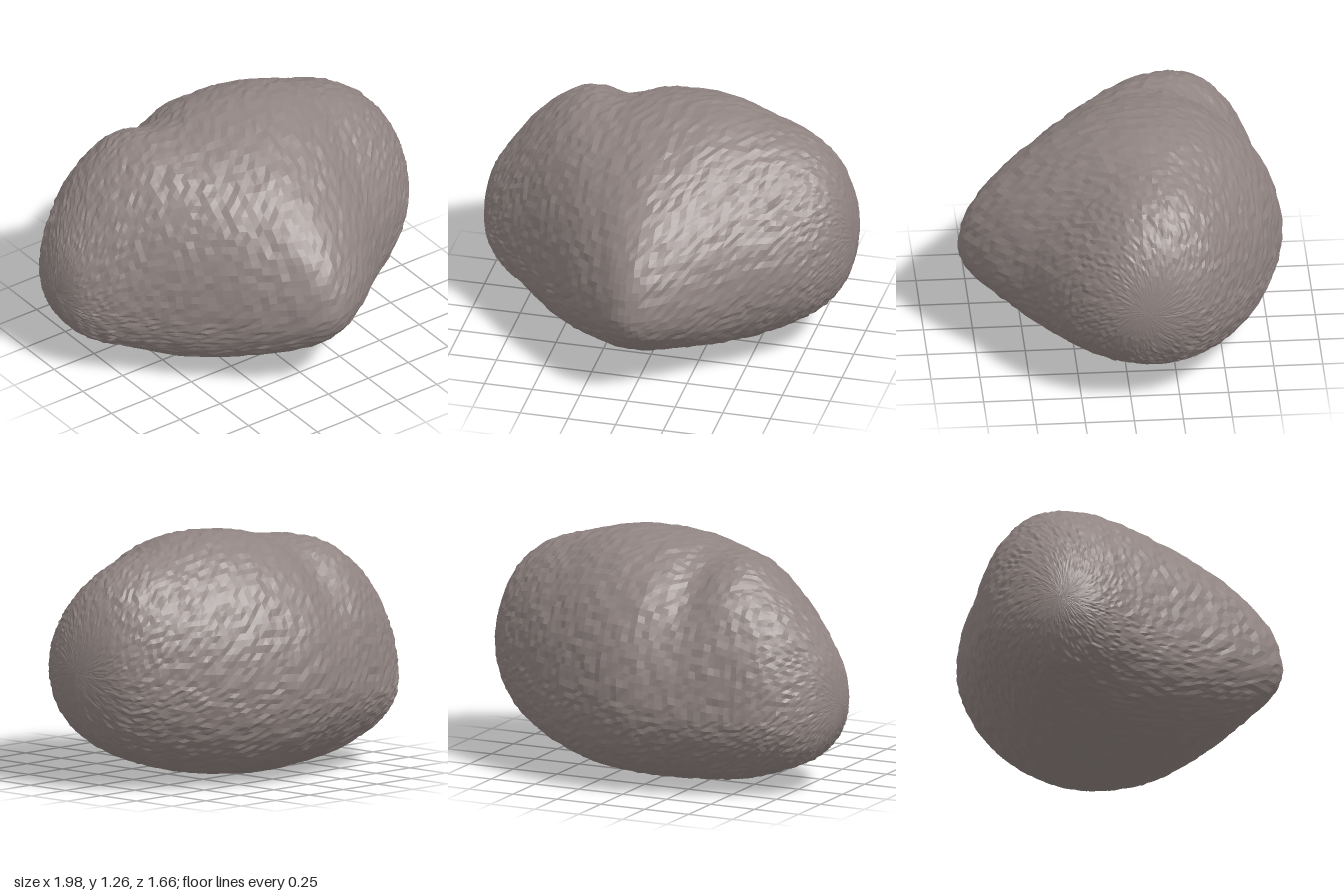
import * as THREE from 'three';

// Cross-sections from right end to left end, at x = -cos(15 degrees * row):
// [top y, bottom y, front z, back z, widest y, crown z,
//  then fullness of the quarters: upper front, lower front, upper back, lower back]
const SECTIONS = [
  [0.47, 0.47, -0.25, -0.25, 0.47, -0.25, 0, 0.05, 0, 0.03],
  [0.68, 0.31, -0.09, -0.42, 0.46, -0.26, 0, 0.06, 0, 0.03],
  [0.85, 0.18, 0.03, -0.565, 0.44, -0.28, 0, 0.06, 0.01, 0],
  [1.04, 0.11, 0.18, -0.67, 0.43, -0.30, -0.01, 0.06, 0.02, -0.04],
  [1.175, 0.045, 0.40, -0.73, 0.43, -0.28, -0.02, 0.05, 0.02, -0.05],
  [1.21, 0.01, 0.645, -0.79, 0.47, -0.21, -0.03, 0, 0.01, -0.02],
  [1.25, 0.005, 0.825, -0.83, 0.50, -0.18, -0.055, -0.045, -0.005, 0.02],
  [1.255, 0.03, 0.71, -0.77, 0.52, -0.17, -0.06, -0.03, -0.01, 0.05],
  [1.20, 0.08, 0.51, -0.665, 0.54, -0.16, -0.06, 0.02, -0.02, 0.05],
  [1.135, 0.16, 0.38, -0.54, 0.56, -0.14, -0.05, 0.02, 0.01, 0.04],
  [1.02, 0.265, 0.25, -0.425, 0.59, -0.11, -0.03, 0.01, 0.03, 0.03],
  [0.84, 0.42, 0.10, -0.29, 0.61, -0.08, 0, 0, 0.01, 0],
  [0.62, 0.62, -0.07, -0.07, 0.62, -0.07, 0, 0, 0, 0],
];

// Smooth cross-section at u in 0..1, extrapolated past both ends
function sectionAt(u) {
  const last = SECTIONS.length - 1;
  const i = Math.min(Math.floor(u * last), last - 1);
  const f = u * last - i;
  const row = (k, c) => {
    if (k < 0) return 2 * SECTIONS[0][c] - SECTIONS[1][c];
    if (k > last) return 2 * SECTIONS[last][c] - SECTIONS[last - 1][c];
    return SECTIONS[k][c];
  };
  return SECTIONS[0].map((_, c) => {
    const [a, b, d, e] = [row(i - 1, c), row(i, c), row(i + 1, c), row(i + 2, c)];
    return b + 0.5 * f * (d - a + f * (2 * a - 5 * b + 4 * d - e + f * (3 * (b - d) + e - a)));
  });
}

function seeded(seed) {
  return () => {
    seed = (seed * 1664525 + 1013904223) % 4294967296;
    return seed / 4294967296;
  };
}

function boulderGeometry(rings = 90, sides = 120) {
  const random = seeded(7);
  const positions = [], index = [];
  for (let i = 0; i <= rings; i++) {
    const u = i / rings;
    const x = -Math.cos(u * Math.PI) * 0.99;
    const [top, bottom, front, back, y0, z0, ...full] = sectionAt(u);
    const rough = 0.011 * Math.min(1, 2 * Math.sin(u * Math.PI));
    for (let j = 0; j < sides; j++) {
      const a = (j / sides) * Math.PI * 2;
      const c = Math.cos(a), s = Math.sin(a);
      const quarter = (c > 0 ? 0 : 2) + (s > 0 ? 0 : 1);
      const r = 1 + full[quarter] * Math.sin(2 * a) ** 2;
      let y = y0 + r * s * (s > 0 ? top - y0 : y0 - bottom);
      let z = z0 + r * c * (c > 0 ? front - z0 : z0 - back);
      // Shallow valley across the upper back
      const dent = 0.05 * Math.exp(-(((x + 0.27) / 0.12) ** 2) - ((y - 1.02) / 0.3) ** 2 - ((z + 0.5) / 0.3) ** 2);
      // Chipped surface
      const push = (random() - 0.5) * rough - dent;
      y += s * push;
      z += c * push;
      positions.push(x + (random() - 0.5) * rough * 0.8, Math.max(0, y), z);
      if (i < rings) {
        const k = (j + 1) % sides;
        const p = i * sides + j, q = i * sides + k;
        index.push(p, p + sides, q + sides, p, q + sides, q);
      }
    }
  }
  const geometry = new THREE.BufferGeometry();
  geometry.setAttribute('position', new THREE.Float32BufferAttribute(positions, 3));
  geometry.setIndex(index);
  geometry.computeVertexNormals();
  return geometry;
}

export function createModel() {
  const group = new THREE.Group();
  group.name = 'rock';
  const stone = new THREE.MeshStandardMaterial({ color: 0x918583, flatShading: true });
  const boulder = new THREE.Mesh(boulderGeometry(), stone);
  boulder.name = 'boulder';
  group.add(boulder);
  return group;
}
